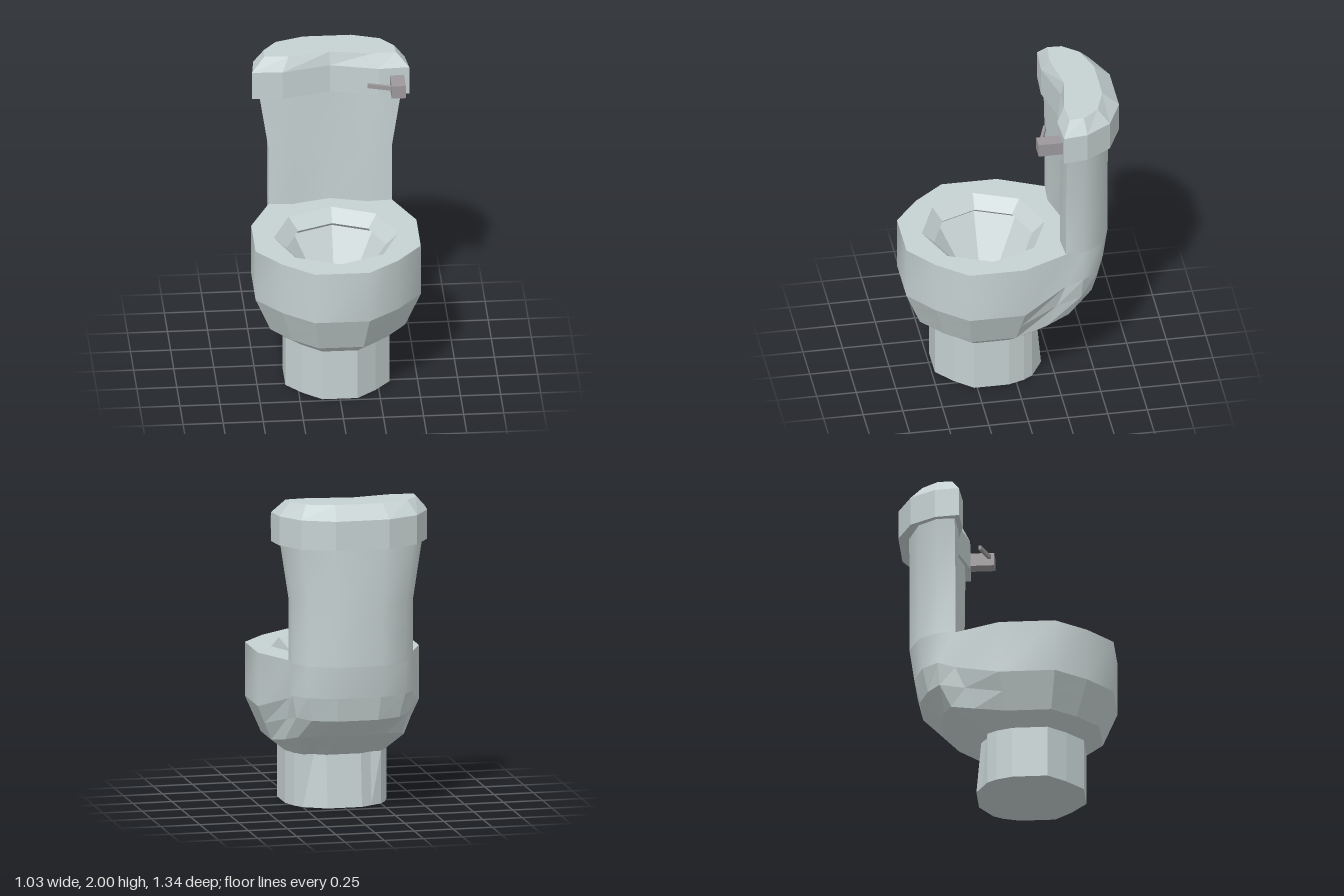
import * as THREE from 'three';
import { mergeGeometries, toCreasedNormals } from 'three/addons/utils/BufferGeometryUtils.js';

const ceramic = new THREE.MeshStandardMaterial({ color: 0xc6d1d1, flatShading: true });
const ceramicSoft = new THREE.MeshStandardMaterial({ color: 0xc6d1d1 });
const metal = new THREE.MeshStandardMaterial({ color: 0x9c989b, flatShading: true });

// Half outline [x, y, z] from front to back on +x, mirrored into a closed loop
const mirror = (half) => [
  ...half,
  ...half.filter((p) => p[0] !== 0).reverse().map(([x, y, z]) => [-x, y, z]),
];
const flat = (half, y) => half.map(([x, z]) => [x, y, z]);

// Skin between closed loops listed from bottom to top
function loft(rings) {
  const n = rings[0].length, index = [];
  for (let r = 0; r < rings.length - 1; r++) {
    for (let i = 0; i < n; i++) {
      const a = r * n + i, b = r * n + (i + 1) % n;
      index.push(a, b, b + n, a, b + n, a + n);
    }
  }
  const g = new THREE.BufferGeometry();
  g.setAttribute('position', new THREE.Float32BufferAttribute(rings.flat(2), 3));
  g.setIndex(index);
  return g.toNonIndexed();
}

// Level face filling a loop, facing up (s = 1) or down (s = -1)
function cap(ring, s, hole) {
  const pts = (loop) => loop.map(([x, , z]) => new THREE.Vector2(x, -s * z));
  const shape = new THREE.Shape(pts(ring));
  if (hole) shape.holes.push(new THREE.Path(pts(hole)));
  const g = new THREE.ShapeGeometry(shape).rotateX(-s * Math.PI / 2).translate(0, ring[0][1], 0);
  g.deleteAttribute('uv');
  g.deleteAttribute('normal');
  return g.toNonIndexed();
}

export function createModel() {
  const model = new THREE.Group();
  const add = (name, parts, material) => {
    let g = mergeGeometries(parts);
    g.computeVertexNormals();
    if (material === ceramicSoft) g = toCreasedNormals(g, 0.7);
    const mesh = new THREE.Mesh(g, material);
    mesh.name = name;
    model.add(mesh);
  };

  // Pedestal
  const foot = [[0.11, 0.48], [0.23, 0.38], [0.325, 0.27], [0.325, 0.05], [0.29, -0.05], [0.25, -0.11], [0.18, -0.15], [0.11, -0.19]];
  const neck = foot.map(([x, z], i) => [x, i > 5 ? z + 0.03 : z]);
  const footRing = mirror(flat(foot, 0)), neckRing = mirror(flat(neck, 0.335));
  add('pedestal', [loft([footRing, neckRing]), cap(footRing, -1)], ceramic);

  // Bowl underside, sweeping up at the back into the tank column
  const front = [[0.17, 0.67], [0.36, 0.52], [0.515, 0.33], [0.515, -0.02]];
  const lowHalf = [
    [0.14, 0.41, 0.58], [0.30, 0.41, 0.45], [0.42, 0.41, 0.30], [0.42, 0.41, 0.02],
    [0.38, 0.45, -0.18], [0.33, 0.49, -0.33], [0.22, 0.5, -0.38], [0.1, 0.5, -0.41],
  ];
  const shoulderHalf = [...flat(front, 0.635),
    [0.385, 0.735, -0.3], [0.385, 0.77, -0.41], [0.31, 0.77, -0.51], [0.14, 0.77, -0.575]];
  const midHalf = lowHalf.map((p, i) => p.map((v, k) => (v + shoulderHalf[i][k]) / 2));
  midHalf.splice(5, 3, [0.36, 0.63, -0.4], [0.28, 0.62, -0.48], [0.13, 0.62, -0.54]);
  const shoulder = mirror(shoulderHalf);
  add('bowlUnderside', [loft([neckRing, mirror(lowHalf), mirror(midHalf), shoulder])], ceramic);

  // Upright bowl wall
  const rimY = 0.975;
  const back = [[0.385, -0.3], [0.385, -0.41], [0.31, -0.53], [0.14, -0.605]];
  add('bowlWall', [loft([shoulder, mirror(flat([...front, ...back], rimY))])], ceramicSoft);

  // Rim with octagonal opening, lip and basin
  const octagon = (r, y) => Array.from({ length: 8 }, (_, i) => {
    const a = i * Math.PI / 4;
    return [r * Math.sin(a), y, 0.155 + r * Math.cos(a)];
  });
  const opening = octagon(0.388, rimY), drain = octagon(0.115, 0.53);
  const rimRing = mirror(flat([...front, [0.385, -0.3], [0.23, -0.29], [0, -0.35]], rimY));
  add('rim', [cap(rimRing, 1, opening)], ceramic);
  add('basin', [
    loft([opening, octagon(0.31, 0.9), octagon(0.345, 0.87), drain]),
    cap(drain, 1),
  ], ceramic);

  // Tank column with a hollow front, flaring towards the top
  const column = [[0, -0.35], [0.23, -0.29], ...back];
  const columnRing = (y, s) => mirror(flat(column.map(([x, z]) => [x * s, z]), y));
  add('tank', [loft([columnRing(rimY, 1), columnRing(1.36, 1), columnRing(1.735, 1.15)])], ceramicSoft);

  // Lid with a bevelled top
  const lidOuter = [[0, -0.335], [0.3, -0.26], [0.49, -0.27], [0.472, -0.42], [0.37, -0.58], [0.17, -0.672]];
  const lidInner = [[0, -0.355], [0.26, -0.308], [0.41, -0.32], [0.405, -0.41], [0.325, -0.51], [0.15, -0.57]];
  const lidBase = mirror(flat(lidOuter, 1.73)), lidTop = mirror(flat(lidInner, 2));
  add('tankLid', [
    loft([lidBase, mirror(flat(lidOuter, 1.915)), lidTop]),
    cap(lidBase, -1), cap(lidTop, 1),
  ], ceramic);

  // Flush handle: mounting block and thin lever
  const handle = new THREE.Group();
  handle.name = 'flushHandle';
  const block = new THREE.Mesh(new THREE.BoxGeometry(0.088, 0.085, 0.17), metal);
  block.name = 'handleBlock';
  block.position.set(0.413, 1.822, -0.2);
  const lever = new THREE.Mesh(new THREE.BoxGeometry(0.17, 0.027, 0.018), metal);
  lever.name = 'handleLever';
  lever.position.set(0.305, 1.837, -0.167);
  lever.rotation.y = -0.32;
  handle.add(block, lever);
  model.add(handle);

  return model;
}
